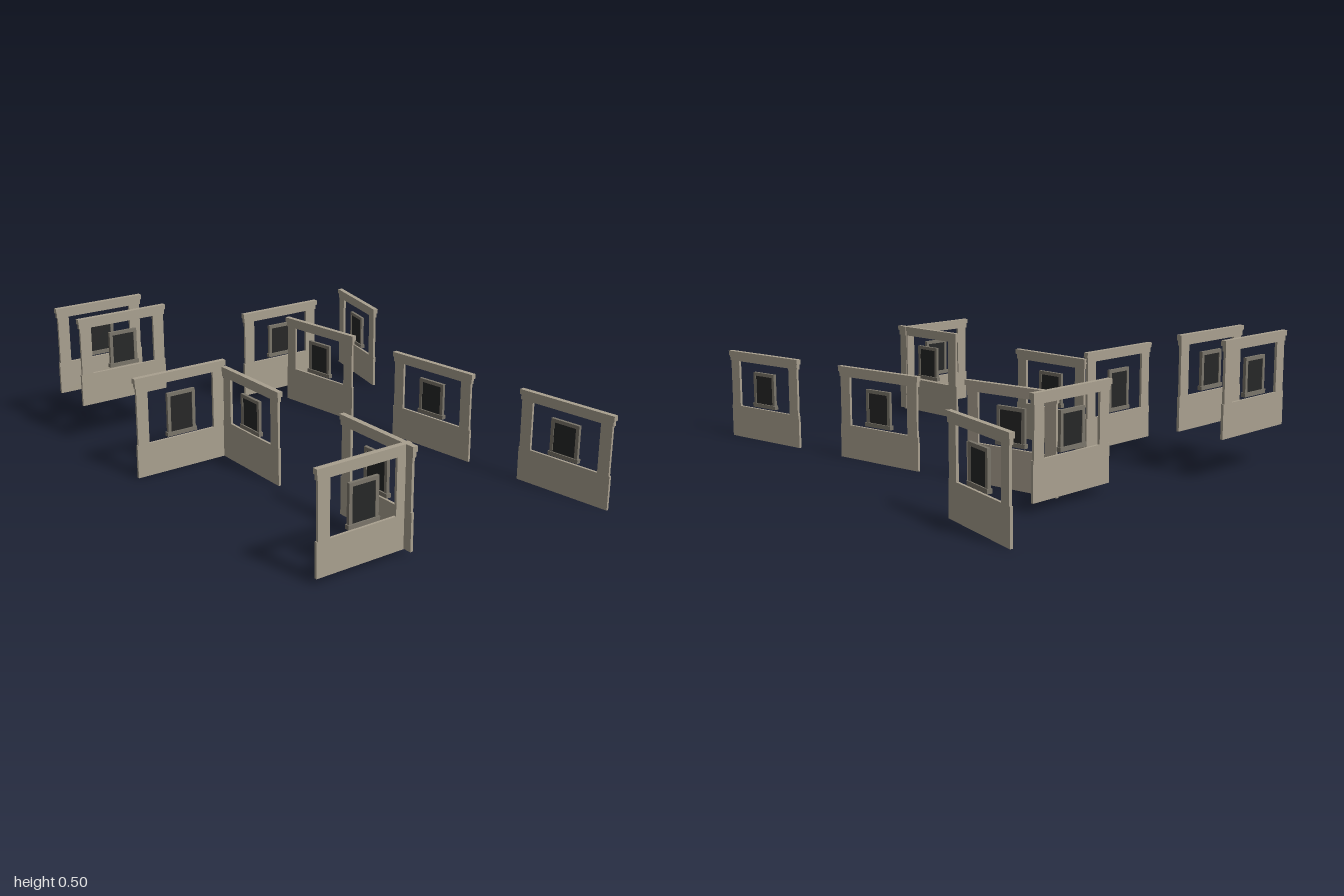
import * as THREE from 'three';

const stone = new THREE.MeshStandardMaterial({ color: 0xa9a08f });
stone.name = 'stone';
const trim = new THREE.MeshStandardMaterial({ color: 0x7a756a });
trim.name = 'windowTrim';
const glass = new THREE.MeshStandardMaterial({ color: 0x262727 });
glass.name = 'darkGlass';

// Each wall panel: end points in plan, base height, parapet top, overall top
const PANELS = [
  { a: [-0.783, -0.624], b: [-0.417, -0.716], base: 0.148, sill: 0.273, top: 0.495 },
  { a: [-0.738, -0.442], b: [-0.37, -0.534], base: 0.148, sill: 0.273, top: 0.495 },
  { a: [-0.643, -0.011], b: [-0.27, -0.104], base: 0, sill: 0.126, top: 0.382 },
  { a: [-0.275, -0.102], b: [-0.187, 0.254], base: 0, sill: 0.144, top: 0.357 },
  { a: [-0.008, -0.626], b: [0.358, -0.718], base: 0.033, sill: 0.172, top: 0.39 },
  { a: [0.187, -0.616], b: [0.33, -0.253], base: 0.002, sill: 0.143, top: 0.36 },
  { a: [0.6, -1.0], b: [0.6, -0.622], base: 0, sill: 0.128, top: 0.347 },
  { a: [0.411, -0.054], b: [0.553, 0.312], base: 0, sill: 0.126, top: 0.346 },
  { a: [0.635, 0.512], b: [0.777, 0.877], base: 0, sill: 0.126, top: 0.346 },
  { a: [-0.101, 0.59], b: [-0.012, 0.947], base: 0.022, sill: 0.158, top: 0.382 },
  { a: [-0.366, 0.991], b: [-0.008, 0.902], base: 0.02, sill: 0.143, top: 0.382 },
];

// Box spanning y0..y1, centred on the panel's plane
function slab(parent, name, material, width, y0, y1, depth, x = 0) {
  const mesh = new THREE.Mesh(new THREE.BoxGeometry(width, y1 - y0, depth), material);
  mesh.name = name;
  mesh.position.set(x, (y0 + y1) / 2, 0);
  parent.add(mesh);
}

// Framed window standing in the middle of the opening
function buildWindow(y0, y1) {
  const win = new THREE.Group();
  win.name = 'window';
  const w = 0.117, bar = 0.013;
  slab(win, 'windowPane', glass, w - 2 * bar, y0 + bar, y1 - bar, 0.007);
  for (const s of [-1, 1]) {
    slab(win, 'windowJamb', trim, bar, y0, y1, 0.012, s * (w - bar) / 2);
  }
  slab(win, 'windowHead', trim, w - 2 * bar, y1 - bar, y1, 0.012);
  slab(win, 'windowSill', trim, w + 0.008, y0 - 0.002, y0 + bar, 0.018);
  return win;
}

function buildPanel({ a, b, base, sill, top }) {
  const panel = new THREE.Group();
  panel.name = 'wallPanel';
  const dx = b[0] - a[0], dz = b[1] - a[1];
  const length = Math.hypot(dx, dz);
  const capBottom = top - 0.019, beamBottom = top - 0.038;
  const opening = beamBottom - sill;

  // Parapet, posts, beam and projecting cap
  slab(panel, 'lowerWall', stone, length - 0.008, base, sill, 0.01);
  for (const s of [-1, 1]) {
    slab(panel, 'post', stone, 0.046, sill, beamBottom, 0.01, s * (length / 2 - 0.031));
  }
  slab(panel, 'beam', stone, length - 0.008, beamBottom, capBottom, 0.014);
  slab(panel, 'cap', stone, length, capBottom, top, 0.02);
  panel.add(buildWindow(sill + 0.01, sill + 0.01 + opening * 0.75));

  panel.position.set((a[0] + b[0]) / 2, 0, (a[1] + b[1]) / 2);
  panel.rotation.y = Math.atan2(-dz, dx);
  return panel;
}

export function createModel() {
  const model = new THREE.Group();
  model.name = 'ruinedWalls';
  for (const spec of PANELS) model.add(buildPanel(spec));
  return model;
}
